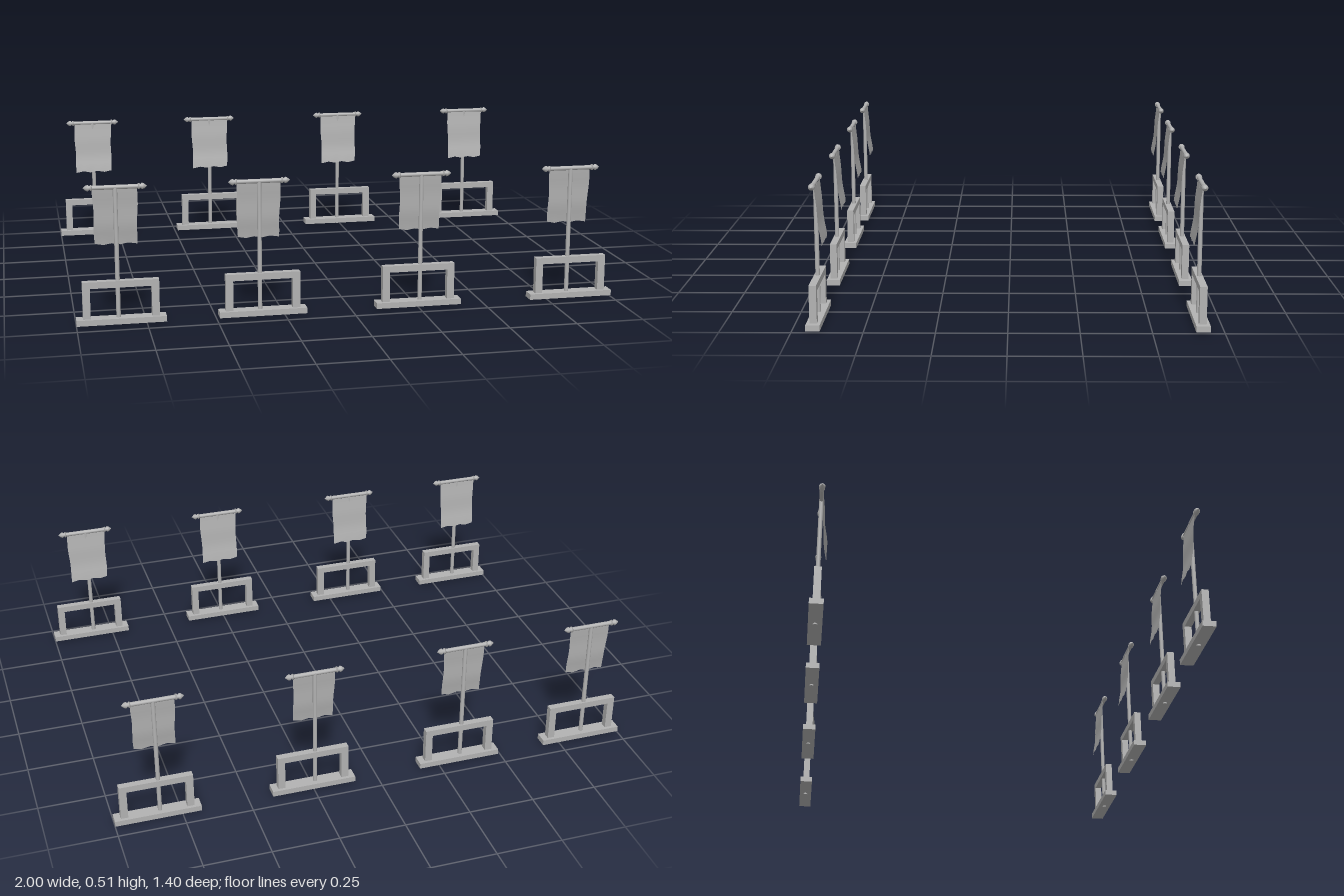
import * as THREE from 'three';

const grey = new THREE.MeshStandardMaterial({ color: 0xb2b2b2, side: THREE.DoubleSide });
grey.name = 'grey';

function add(group, name, geometry, x = 0, y = 0, z = 0) {
  const mesh = new THREE.Mesh(geometry, grey);
  mesh.name = name;
  mesh.position.set(x, y, z);
  group.add(mesh);
  return mesh;
}

// Hanging cloth: drifts towards +z as it falls, with uneven sides and hem
function clothGeometry() {
  const drift = new THREE.SplineCurve([
    new THREE.Vector2(0, 0.006), new THREE.Vector2(0.25, 0.013),
    new THREE.Vector2(0.6, 0.017), new THREE.Vector2(1, 0.028),
  ]);
  const g = new THREE.PlaneGeometry(0.158, 0.205, 10, 10);
  const p = g.attributes.position;
  for (let i = 0; i < p.count; i++) {
    const u = p.getX(i) / 0.079;
    const t = 0.5 - p.getY(i) / 0.205;
    const side = 1 - 0.05 * t + 0.02 * Math.sin(t * 9 + u);
    const hem = t > 0.99 ? 0.003 * Math.sin(u * 8) : 0;
    p.setXYZ(i, u * 0.079 * side, 0.492 - t * 0.205 + hem, drift.getPoint(t).y);
  }
  g.computeVertexNormals();
  return g;
}

// Collar, bead and point at the end of the crossbar, along +y
function finialGeometry() {
  const profile = [[0, 0], [0.011, 0], [0.011, 0.005], [0.007, 0.008],
    [0.012, 0.015], [0.009, 0.022], [0, 0.032]];
  return new THREE.LatheGeometry(profile.map(([r, y]) => new THREE.Vector2(r, y)), 12);
}

const cloth = clothGeometry();
const finial = finialGeometry();

// One stand; the cloth hangs on its +z side
function createBannerStand(poleX) {
  const stand = new THREE.Group();

  // Low base and rectangular frame
  add(stand, 'base', new THREE.BoxGeometry(0.32, 0.021, 0.05), 0, 0.0155);
  for (const s of [-1, 1]) {
    add(stand, 'frameLeg', new THREE.BoxGeometry(0.027, 0.111, 0.026), s * 0.1225, 0.0815);
  }
  add(stand, 'frameTop', new THREE.BoxGeometry(0.272, 0.024, 0.026), 0, 0.149);

  // Banner on its pole, slightly off the middle of the base
  const banner = new THREE.Group();
  banner.name = 'banner';
  banner.position.x = poleX;
  add(banner, 'pole', new THREE.CylinderGeometry(0.008, 0.008, 0.5, 12), 0, 0.25);
  add(banner, 'crossbar', new THREE.CylinderGeometry(0.008, 0.008, 0.17, 12), 0, 0.498)
    .rotation.z = Math.PI / 2;
  for (const s of [-1, 1]) {
    add(banner, 'finial', finial, s * 0.08, 0.498).rotation.z = -s * Math.PI / 2;
  }
  add(banner, 'cloth', cloth);
  stand.add(banner);
  return stand;
}

export function createModel() {
  const model = new THREE.Group();
  model.name = 'bannerStands';
  const columns = [-0.84, -0.33, 0.25, 0.84];

  // Two facing rows, cloths hanging on the inner side
  columns.forEach((x, i) => {
    const back = createBannerStand(-0.01);
    back.name = 'backStand';
    back.position.set(x, 0, -0.675);
    model.add(back);

    const front = createBannerStand(i === 2 ? -0.008 : 0.01);
    front.name = 'frontStand';
    front.position.set(x, 0, 0.675);
    front.rotation.y = Math.PI;
    model.add(front);
  });
  return model;
}
